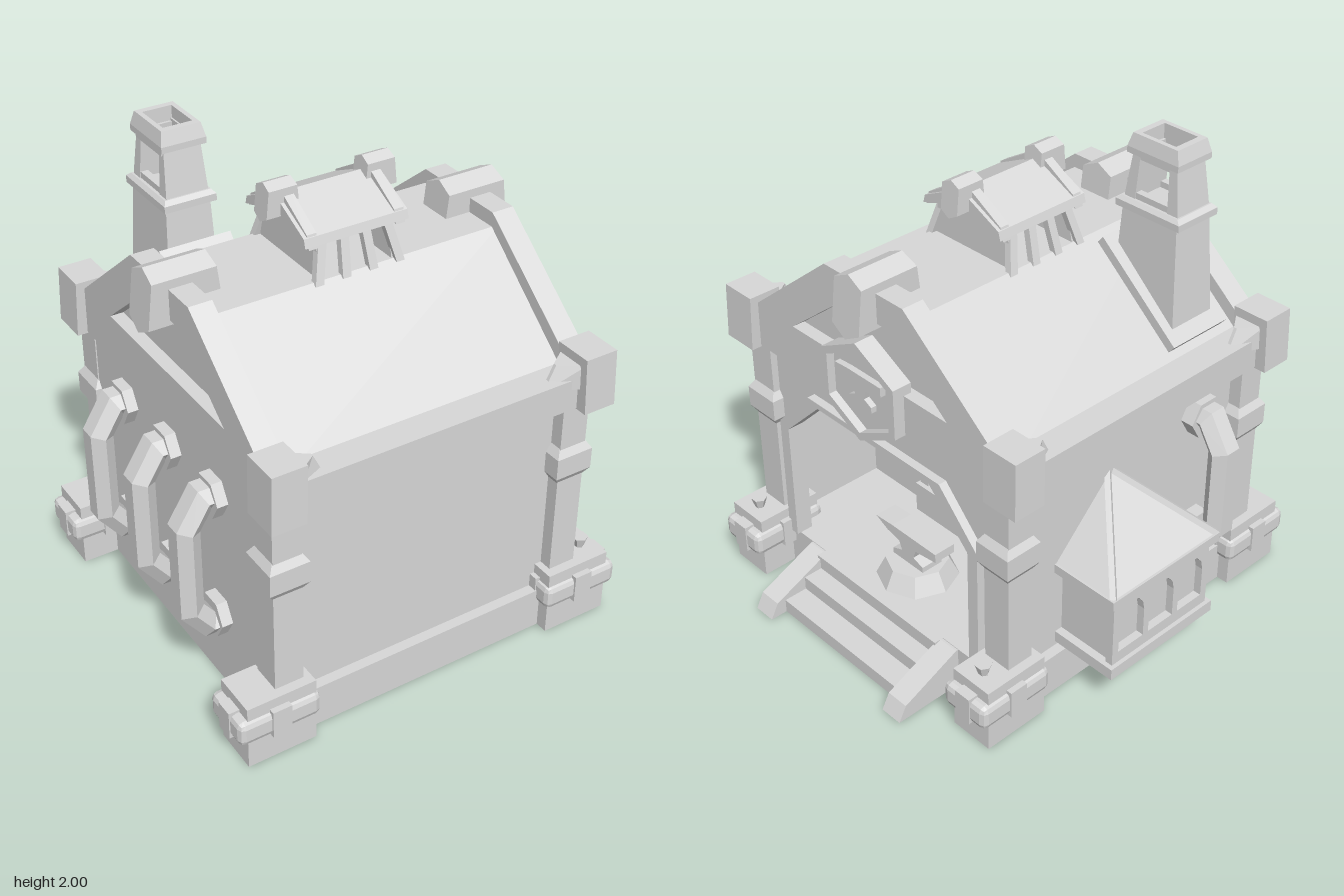
import * as THREE from 'three';
import { RoundedBoxGeometry } from 'three/addons/geometries/RoundedBoxGeometry.js';

const CX = -0.06, CZ = 0.083; // centre of the building's plan

export function createModel() {
  const stone = new THREE.MeshStandardMaterial({ color: 0xd8d8d8, side: THREE.DoubleSide });
  stone.name = 'paleStone';
  const root = new THREE.Group();
  root.name = 'forge';

  // Adds a mesh with hard-edged normals
  const add = (name, geo, x = 0, y = 0, z = 0, parent = root) => {
    const g = geo.index ? geo.toNonIndexed() : geo;
    g.computeVertexNormals();
    const m = new THREE.Mesh(g, stone);
    m.name = name;
    m.position.set(x, y, z);
    parent.add(m);
    return m;
  };
  // Moves every vertex of a geometry by a rule
  const bend = (g, rule) => {
    const p = g.attributes.position;
    for (let i = 0; i < p.count; i++) p.setXYZ(i, ...rule(p.getX(i), p.getY(i), p.getZ(i)));
    return g;
  };
  // Box given by its limits
  const box = (name, x0, x1, y0, y1, z0, z1) =>
    add(name, new THREE.BoxGeometry(x1 - x0, y1 - y0, z1 - z0), (x0 + x1) / 2, (y0 + y1) / 2, (z0 + z1) / 2);
  const extrude = (pts, depth, holes = []) => {
    const s = new THREE.Shape(pts.map(p => new THREE.Vector2(...p)));
    s.holes = holes.map(h => new THREE.Path(h.map(p => new THREE.Vector2(...p))));
    return new THREE.ExtrudeGeometry(s, { depth, bevelEnabled: false });
  };
  // Outline in (z, y) pushed along x
  const slabX = (name, pts, x0, x1, holes) =>
    add(name, extrude(pts, x1 - x0, holes).rotateY(-Math.PI / 2), x1);
  // Outline in (x, y) pushed along z
  const slabZ = (name, pts, z0, z1, holes) => add(name, extrude(pts, z1 - z0, holes), 0, 0, z0);
  // Square lathe: profile of [half width, y], stretched in z by depth
  const square = (name, prof, x, z, depth = 1) => {
    const g = new THREE.LatheGeometry(prof.map(([r, y]) => new THREE.Vector2(r * Math.SQRT2, y)), 4);
    return add(name, g.rotateY(Math.PI / 4).scale(1, 1, depth), x, 0, z);
  };
  // Arch outline: straight legs and a half ellipse
  const arch = (c, w, y0, spring, top, n = 8) => {
    const pts = [[c + w, y0]];
    for (let i = 0; i <= n; i++) {
      const a = Math.PI * i / n;
      pts.push([c + w * Math.cos(a), spring + (top - spring) * Math.sin(a)]);
    }
    pts.push([c - w, y0]);
    return pts;
  };

  // Hollow base: skirts and floor, set in from the corner plinths
  for (const s of [-1, 1]) {
    box('baseSkirt', CX - 0.67, CX + 0.67, 0, 0.18, CZ + s * 0.725 - 0.008, CZ + s * 0.725 + 0.008);
    box('baseSkirtEnd', CX + s * 0.67 - 0.008, CX + s * 0.67 + 0.008, 0, 0.18, CZ - 0.72, CZ + 0.72);
  }
  box('floor', CX - 0.67, CX + 0.67, 0.16, 0.18, CZ - 0.725, CZ + 0.725);

  // Corners: plinth, strap, clasp, column, collar, eave cap, bracket
  for (const sx of [-1, 1]) for (const sz of [-1, 1]) {
    const px = CX + sx * 0.685, pz = CZ + sz * 0.69;
    const keep = Array.from(new THREE.BoxGeometry(0.29, 0.28, 0.19).toNonIndexed().attributes.position.array);
    keep.splice(18 * 3, 18); // open underside
    const plinth = new THREE.BufferGeometry();
    plinth.setAttribute('position', new THREE.Float32BufferAttribute(keep, 3));
    add('plinth', plinth, px, 0.14, pz);
    const rx = CX + sx * 0.697;
    add('plinthStrap', new RoundedBoxGeometry(0.345, 0.105, 0.225, 1, 0.025), rx, 0.175, pz);
    add('strapClasp', new THREE.BoxGeometry(0.08, 0.12, 0.24), rx, 0.178, pz);
    add('strapClaspSide', new THREE.BoxGeometry(0.355, 0.12, 0.075), rx, 0.178, pz);
    if (sx > 0) add('plinthKnob', new THREE.CylinderGeometry(0.034, 0.018, 0.05, 6), 0.705, 0.3, pz);

    const cx = CX + sx * 0.63, cz = CZ + sz * 0.682;
    box('column', cx - 0.06, cx + 0.06, 0.2, 1.08, cz - 0.063, cz + 0.063);
    square('columnCollar', [[0.06, 0.7], [0.082, 0.735], [0.082, 0.825], [0.06, 0.86]], cx, cz);

    const cap = bend(new THREE.BoxGeometry(0.14, 0.235, 0.16), (x, y, z) => // leans out at the foot
      y < 0 ? [x + sx * 0.008, y, z + sz * 0.006] : [x, y, z]);
    add('eaveCap', cap, CX + sx * 0.66, 1.1725, CZ + sz * 0.7425);
    const bracket = bend(new THREE.BoxGeometry(0.14, 0.1, 0.14), (x, y, z) => // pointed towards the middle
      x * sx < 0 ? [x + (y > 0 ? sx * 0.05 : 0), y, z * 0.1] : [x, y, z]);
    add('eaveBracket', bracket, CX + sx * 0.54, 1.2, CZ + sz * 0.73);
  }

  // Walls and eave beams
  for (const s of [-1, 1]) {
    const w = CZ + s * 0.675, b = CZ + s * 0.71;
    box('longWall', CX - 0.65, CX + 0.65, 0.18, 1.1, w - 0.015, w + 0.015);
    box('eaveBeam', CX - 0.66, CX + 0.66, 1.06, 1.19, b - 0.07, b + 0.07);
  }
  box('rearWall', -0.745, -0.71, 0.18, 1.1, CZ - 0.68, CZ + 0.68);
  // the doorway reaches the floor, so its outline is part of the wall's outline
  const doorway = (w, w2, y1, y2) => [[CZ + w, 0.18], [CZ + w, y1], [CZ + w2, y2], [CZ - w2, y2], [CZ - w, y1], [CZ - w, 0.18]];
  const opening = doorway(0.533, 0.325, 0.72, 0.925).reverse();
  const fullWall = [[CZ + 0.68, 0.18], [CZ + 0.68, 1.1], [CZ - 0.68, 1.1], [CZ - 0.68, 0.18]];
  slabX('entranceWall', [...fullWall, ...opening], 0.56, 0.6);
  slabX('entranceFrame', [...doorway(0.585, 0.385, 0.74, 0.95), ...opening], 0.56, 0.635);
  box('ceiling', -0.72, 0.57, 1.03, 1.05, CZ - 0.68, CZ + 0.68);

  // Roof with flat top, and gable frames at both ends
  slabX('roof', [[0.79, 1.148], [0.3, 1.56], [-0.135, 1.56], [-0.625, 1.148]], -0.7, 0.58);
  const gable = [[CZ + 0.7, 1.06], [CZ + 0.7, 1.23], [0.3, 1.62], [-0.135, 1.62], [CZ - 0.7, 1.23], [CZ - 0.7, 1.06]];
  const gableHole = [[0.525, 1.25], [0.215, 1.495], [-0.055, 1.495], [-0.355, 1.25]];
  for (const x of [-0.755, 0.54]) slabX('gableFrame', gable, x, x + 0.095, [gableHole]);

  // Ridge end: six-sided beam whose ends lean out towards the foot
  const ridgeEnd = (name, xc, y, half, lean, s) => {
    const g = extrude([[0.075, 0.04], [0.075, 0.22], [0, 0.255], [-0.075, 0.22], [-0.075, 0.04], [0, 0]].map(([a, b]) => [a * s, b * s]), 2 * half);
    bend(g.rotateY(-Math.PI / 2).translate(half, 0, 0), (x, h, z) => [x - Math.sign(x) * lean * h, h, z]);
    add(name, g, xc, y, CZ);
  };
  for (const s of [-1, 1]) {
    ridgeEnd('ridgeEnd', CX + s * 0.63, 1.435, 0.155, 0.12, 1);
    ridgeEnd('ventRidgeEnd', CX + s * 0.209, 1.735, 0.072, 0.1, 0.59);
  }

  // Roof vent: slanted slats under a small gabled roof
  for (const s of [-1, 1]) for (let i = 0; i < 4; i++) {
    const x0 = -0.235 + i * 0.116, x1 = -0.195 + i * 0.09;
    const g = bend(new THREE.BoxGeometry(0.035, 0.17, 0.03), (x, y, z) =>
      y > 0 ? [x + x1, y, z + s * 0.175] : [x + x0, y, z + s * 0.22]);
    add('ventSlat', g, 0, 1.635, CZ);
  }
  for (const x of [-0.225, 0.085])
    slabX('ventEnd', [[CZ + 0.215, 1.55], [CZ + 0.185, 1.72], [CZ, 1.8], [CZ - 0.185, 1.72], [CZ - 0.215, 1.55]], x, x + 0.02);
  slabX('ventRoof', [[CZ + 0.21, 1.7], [CZ + 0.2, 1.735], [CZ, 1.83], [CZ - 0.2, 1.735], [CZ - 0.21, 1.7], [CZ, 1.77]], -0.28, 0.16);
  for (const x of [-0.265, 0.105])
    slabX('ventRafter', [[CZ + 0.21, 1.69], [CZ + 0.195, 1.745], [CZ, 1.86], [CZ - 0.195, 1.745], [CZ - 0.21, 1.69], [CZ, 1.77]], x, x + 0.04);

  // Chimney: tapered stack, collar, open lantern and hollow cap
  const hx = -0.462, hz = -0.367;
  square('chimneyStack', [[0.11, 1.25], [0.092, 1.7]], hx, hz, 1.45);
  square('chimneyCollar', [[0.09, 1.685], [0.108, 1.697], [0.108, 1.725], [0.095, 1.74], [0, 1.74]], hx, hz, 1.45);
  const taper = g => bend(g, (x, y, z) => [x * (1 - (y - 1.74) * 0.7), y, z]);
  for (const s of [-1, 1]) {
    const post = [[s * 0.132, 1.735], [s * 0.104, 1.94], [s * 0.07, 1.94], [s * 0.08, 1.735]];
    add('chimneyPost', taper(extrude(post, 0.174).rotateY(-Math.PI / 2).translate(0.087, 0, 0)), hx, 0, hz);
    const x = hx + s * 0.068;
    box('chimneySill', x - 0.015, x + 0.015, 1.73, 1.765, hz - 0.12, hz + 0.12);
    box('chimneyLintel', x - 0.015, x + 0.008, 1.9, 1.95, hz - 0.1, hz + 0.1);
  }
  square('chimneyCap', [[0.07, 1.92], [0.092, 1.92], [0.092, 1.945], [0.08, 2], [0.06, 2], [0.06, 1.92]], hx, hz, 1.35);
  // plate lying on the roof slope
  add('chimneyPlate', new THREE.BoxGeometry(0.3, 0.05, 0.5), hx, 1.385, hz).rotation.x = -Math.atan2(0.412, 0.49);

  // Hexagonal plaque with anvil over the entrance
  const hex = r => Array.from({ length: 6 }, (_, i) => [CZ + 1.11 * r * Math.sin(i * Math.PI / 3), 1.185 + r * Math.cos(i * Math.PI / 3)]);
  slabX('plaqueRim', hex(0.215), 0.6, 0.685, [hex(0.18)]);
  slabX('plaquePanel', hex(0.185), 0.6, 0.65);
  const anvilShape = [[0.19, 0.055], [0.12, 0.02], [0.05, 0.005], [0.035, -0.035], [0.09, -0.055], [0.09, -0.08],
    [-0.09, -0.08], [-0.09, -0.055], [-0.035, -0.035], [-0.05, 0.005], [-0.17, 0.02], [-0.17, 0.06], [0.09, 0.06]];
  slabX('plaqueAnvil', anvilShape.map(([a, b]) => [CZ + a * 0.72, 1.2 + b]), 0.65, 0.675);

  // Anvil on its stand inside the entrance
  slabX('anvil', anvilShape.map(([a, b]) => [CZ + a, 0.34 + b]), 0.38, 0.48);
  add('anvilStand', new THREE.CylinderGeometry(0.13, 0.17, 0.08, 8), 0.43, 0.22, CZ);

  // Hearth and stepped shelves
  slabX('hearthArch', arch(0.09, 0.305, 0.18, 0.5, 0.74), -0.02, 0.14, [arch(0.09, 0.255, 0.32, 0.5, 0.69)]);
  box('hearthBack', -0.2, -0.15, 0.18, 1.04, CZ - 0.68, CZ + 0.68);
  box('hearthBed', -0.15, 0.16, 0.18, 0.32, -0.22, 0.4);
  for (const s of [-1, 1]) for (let i = 0; i < 6; i++) {
    const z = CZ + s * 0.49, y = 0.18 + i * 0.13;
    box('shelfBlock', -0.15, i % 2 ? 0.02 : 0.1, y, y + 0.13, z - 0.17, z + 0.17);
  }

  // Entrance steps and their sloping kerbs
  [[0.85, 0.06], [0.745, 0.12], [0.66, 0.18]].forEach(([x, y]) => box('step', 0.6, x, 0, y, -0.28, 0.45));
  for (const z of [-0.37, 0.433])
    slabZ('stepKerb', [[0.62, 0], [0.925, 0], [0.89, 0.065], [0.63, 0.18], [0.62, 0.18]], z, z + 0.1);

  // Wall pipes: six-sided section swept along a mitred path, with flanges
  const path = [[0, 0.925], [-0.075, 0.925], [-0.147, 0.81], [-0.147, 0.44], [-0.075, 0.345], [0, 0.345]];
  const unit = (p, q) => new THREE.Vector2(q[0] - p[0], q[1] - p[1]).normalize();
  const pipe = (x, z, turn) => {
    const g = new THREE.Group();
    g.name = 'wallPipe';
    const pos = [], idx = [];
    path.forEach((c, i) => {
      const d1 = i ? unit(path[i - 1], c) : unit(c, path[1]), d2 = i < 5 ? unit(c, path[i + 1]) : d1;
      const t = d1.clone().add(d2).normalize(), k = 1 / t.dot(d1);
      for (let j = 0; j < 6; j++) {
        const w = (j + 0.5) * Math.PI / 3, r = 0.055 * Math.cos(w) * k;
        pos.push(c[0] - t.y * r, c[1] + t.x * r, 0.069 * Math.sin(w));
        const m = i * 6 + j, n = i * 6 + (j + 1) % 6;
        if (i < 5) idx.push(m, m + 6, n, n, m + 6, n + 6);
      }
    });
    const geo = new THREE.BufferGeometry();
    geo.setAttribute('position', new THREE.Float32BufferAttribute(pos, 3));
    geo.setIndex(idx);
    add('pipe', geo, 0, 0, 0, g);
    for (const y of [0.915, 0.36])
      add('pipeFlange', new THREE.CylinderGeometry(0.088, 0.088, 0.06, 6).rotateZ(Math.PI / 2), -0.025, y, 0, g);
    g.position.set(x, 0, z);
    g.rotation.y = turn;
    root.add(g);
  };
  for (const z of [-0.27, 0.08, 0.43]) pipe(-0.735, z, 0);
  pipe(-0.43, -0.61, -Math.PI / 2);

  // Bay window on the back wall
  const bx = 0.045;
  box('baySill', bx - 0.285, bx + 0.285, 0.2, 0.25, -0.905, -0.59);
  box('bayBody', bx - 0.25, bx + 0.25, 0.25, 0.55, -0.855, -0.59);
  const windows = [-0.165, 0, 0.165].map(o => arch(bx + o, 0.068, 0.3, 0.43, 0.515, 6));
  slabZ('bayFront', [[bx - 0.265, 0.25], [bx + 0.265, 0.25], [bx + 0.265, 0.55], [bx - 0.265, 0.55]], -0.888, -0.855, windows);
  box('bayEave', bx - 0.295, bx + 0.295, 0.55, 0.59, -0.91, -0.59);
  const apex = [bx, 0.88, -0.585], L = [bx - 0.285, 0.59, -0.9], R = [bx + 0.285, 0.59, -0.9];
  const hip = new THREE.BufferGeometry();
  hip.setAttribute('position', new THREE.Float32BufferAttribute([
    ...R, ...L, ...apex, ...L, L[0], 0.59, -0.59, ...apex, R[0], 0.59, -0.59, ...R, ...apex], 3));
  add('bayRoof', hip);
  for (const c of [L, R])
    add('bayRoofRib', new THREE.TubeGeometry(new THREE.LineCurve3(new THREE.Vector3(...c), new THREE.Vector3(...apex)), 1, 0.016, 4));

  return root;
}
